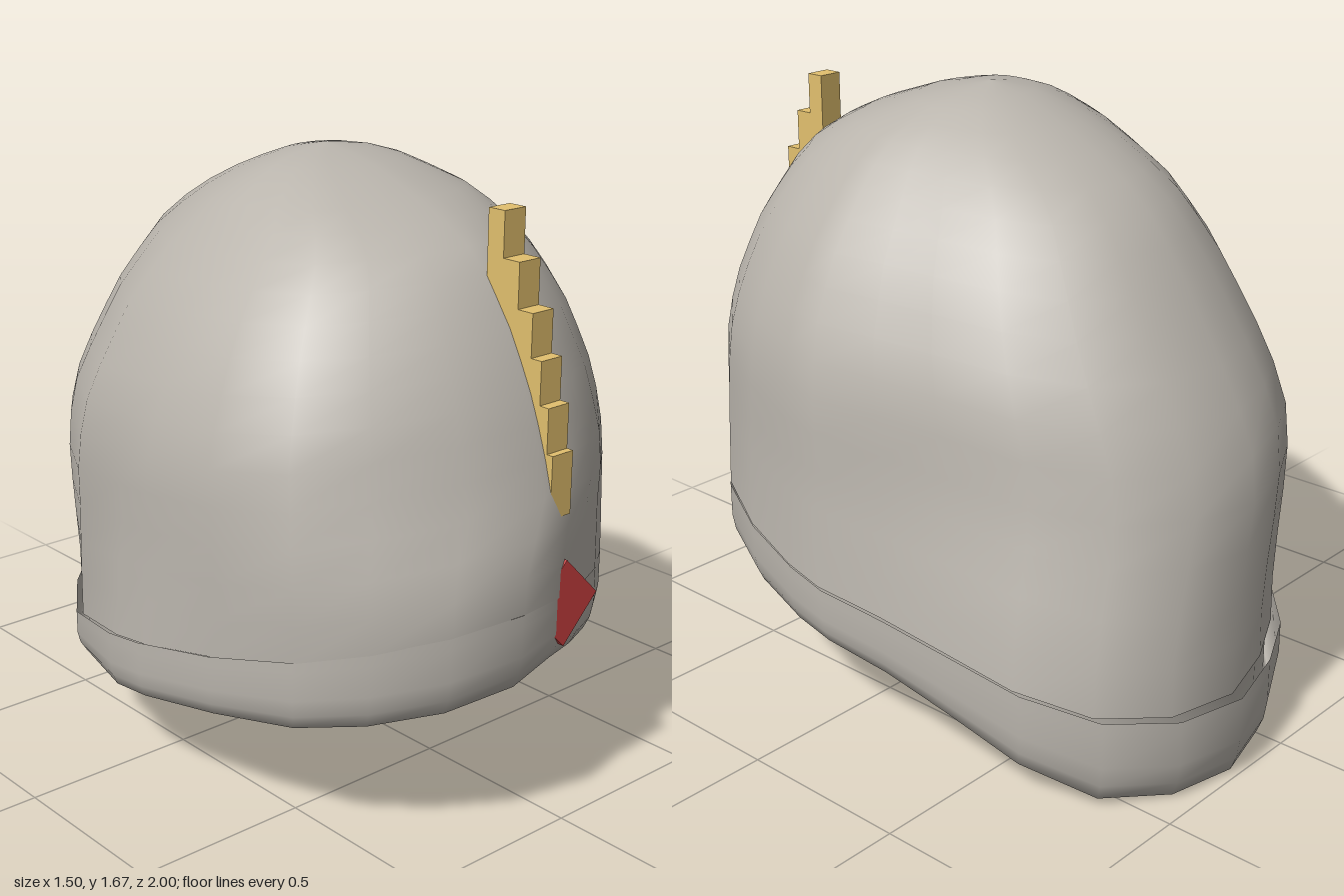
import * as THREE from 'three';

// Skewed plan outline of the helmet, [x, z], running left side > back > right side > front
const OUTLINE = [
  [-0.75, 0.15], [-0.74, 0], [-0.68, -0.25], [-0.5, -0.52], [-0.35, -0.7], [-0.17, -0.87], [0, -0.95],
  [0.2, -1], [0.41, -0.96], [0.58, -0.84], [0.67, -0.64], [0.7, -0.4], [0.72, -0.2], [0.75, 0],
  [0.74, 0.13], [0.69, 0.34], [0.6, 0.54], [0.46, 0.7], [0.3, 0.82], [0.15, 0.9], [0, 0.96],
  [-0.18, 1], [-0.38, 0.95], [-0.54, 0.83], [-0.66, 0.68], [-0.72, 0.42],
];
// Dome profile: [height, half width, front z, back z]
const DOME = [
  [0.2, 0.745, 0.99, -0.97], [0.45, 0.74, 1, -0.95], [0.72, 0.72, 1, -0.93], [0.85, 0.72, 0.97, -0.9],
  [1, 0.71, 0.925, -0.83], [1.13, 0.67, 0.88, -0.745], [1.29, 0.595, 0.8, -0.64], [1.43, 0.49, 0.7, -0.52],
  [1.5, 0.42, 0.62, -0.42], [1.57, 0.345, 0.47, -0.29], [1.65, 0.18, 0.23, -0.09], [1.675, 0, 0.05, 0.05],
];
// Heights of the brow band's lower and upper edges along z
const RIM = [[-1, 0], [-0.8, 0.03], [-0.6, 0.1], [-0.3, 0.19], [0, 0.25], [0.4, 0.31], [0.8, 0.37], [1, 0.4]];
const BAND_TOP = [[-1, 0.23], [-0.5, 0.33], [0, 0.41], [0.5, 0.5], [0.9, 0.6], [1, 0.64]];
const { clamp, smoothstep } = THREE.MathUtils;

// Linear lookup of a table's remaining columns by its first column
function lookup(table, k) {
  let i = 1;
  while (i < table.length - 1 && table[i][0] < k) i++;
  const a = table[i - 1], b = table[i];
  const t = clamp((k - a[0]) / (b[0] - a[0]), 0, 1);
  return a.slice(1).map((v, c) => v + (b[c + 1] - v) * t);
}

// The rim peaks at the front centre and is lifted at the back on one side
function rimY(x, z) {
  const peak = z > 0.6 ? 0.05 * Math.max(0, 1 - Math.abs(x) / 0.5) : 0;
  const lift = 0.08 * clamp(-x / 0.2, 0, 1) * clamp(-z / 0.4, 0, 1);
  return lookup(RIM, z)[0] + peak + lift;
}
const bandY = (x, z) => lookup(BAND_TOP, z)[0];

// The plan's skew straightens out with height
function skewShift(x, z, y) {
  if (z < 0) return 0.14 * z * smoothstep(y, 0.25, 0.9);
  const bulge = x < 0 ? -0.3 * z * z * (1 - z) * smoothstep(y, 0.4, 0.9) : 0;
  return bulge + 0.12 * z ** 4 * smoothstep(y, 0.7, 0.95);
}

// Skin between rings of equal point count, facing outward
function loft(rings) {
  const n = rings[0].length, index = [];
  for (let j = 0; j < rings.length - 1; j++) {
    for (let i = 0; i < n; i++) {
      const a = j * n + i, b = j * n + (i + 1) % n;
      index.push(a, a + n, b, b, a + n, b + n);
    }
  }
  const geo = new THREE.BufferGeometry();
  geo.setAttribute('position', new THREE.Float32BufferAttribute(rings.flat(2), 3));
  geo.setIndex(index);
  geo.computeVertexNormals();
  return geo;
}

// Dome rings rising from the top of the band to the crown
function domeRings(scale, drop, steps = 18) {
  return Array.from({ length: steps + 1 }, (_, j) => {
    const f = Math.sin((j / steps) * Math.PI / 2);
    return OUTLINE.map(([x, z]) => {
      const base = bandY(x, z), y = base + (1.675 - base) * f;
      const [w, front, back] = lookup(DOME, y);
      const mid = (front + back) / 2, half = (front - back) / 2;
      return [(x + skewShift(x, z, y)) / 0.75 * w * scale, y - drop * f, mid + z * half * scale];
    });
  });
}

export function createModel() {
  const steel = new THREE.MeshStandardMaterial({ color: 0xbab5ad, side: THREE.DoubleSide });
  const brass = new THREE.MeshStandardMaterial({ color: 0xe2c06e });
  const ruby = new THREE.MeshStandardMaterial({ color: 0xcc4040 });
  steel.name = 'steel';
  brass.name = 'brass';
  ruby.name = 'ruby';
  const group = new THREE.Group();
  const add = (name, geo, mat, x = 0, y = 0, z = 0) => {
    const mesh = new THREE.Mesh(geo, mat);
    mesh.name = name;
    mesh.position.set(x, y, z);
    group.add(mesh);
    return mesh;
  };

  // Outer dome and its inner lining, which faces inward
  add('dome', loft(domeRings(1, 0)), steel);
  const inner = loft(domeRings(0.975, 0.02));
  const idx = inner.index.array;
  for (let i = 0; i < idx.length; i += 3) [idx[i], idx[i + 1]] = [idx[i + 1], idx[i]];
  inner.computeVertexNormals();
  add('lining', inner, steel);

  // Brow band from inner ledge, down, around the rim and up: [fraction of band height, outline scale]
  const band = [
    [1, 0.967], [0.98, 0.95], [0.04, 0.95], [0, 0.97], [0.2, 0.99], [0.45, 1], [0.85, 1], [1, 1],
  ];
  add('browBand', loft(band.map(([f, s]) => OUTLINE.map(([x, z]) => {
    const low = rimY(x, z);
    return [x * s, low + (bandY(x, z) - low) * f, z * s];
  }))), steel);

  // Stepped crest on the forehead: [back z, front z, bottom, top]
  const crest = [
    [0.7, 0.755, 1.33, 1.6], [0.74, 0.81, 1.2, 1.48], [0.79, 0.86, 1.08, 1.36], [0.83, 0.895, 0.96, 1.245],
    [0.86, 0.925, 0.87, 1.13], [0.88, 0.945, 0.84, 1.01], [0.84, 0.92, 0.74, 0.9],
  ];
  crest.forEach(([z0, z1, y0, y1], i) => {
    add(`crestStep${i + 1}`, new THREE.BoxGeometry(0.075, y1 - y0, z1 - z0), brass,
      0.003, (y0 + y1) / 2, (z0 + z1) / 2);
  });

  // Diamond-set gem on the brow
  add('gem', new THREE.BoxGeometry(0.17, 0.17, 0.113), ruby, 0.018, 0.603, 0.906).rotation.z = Math.PI / 4;

  return group;
}
